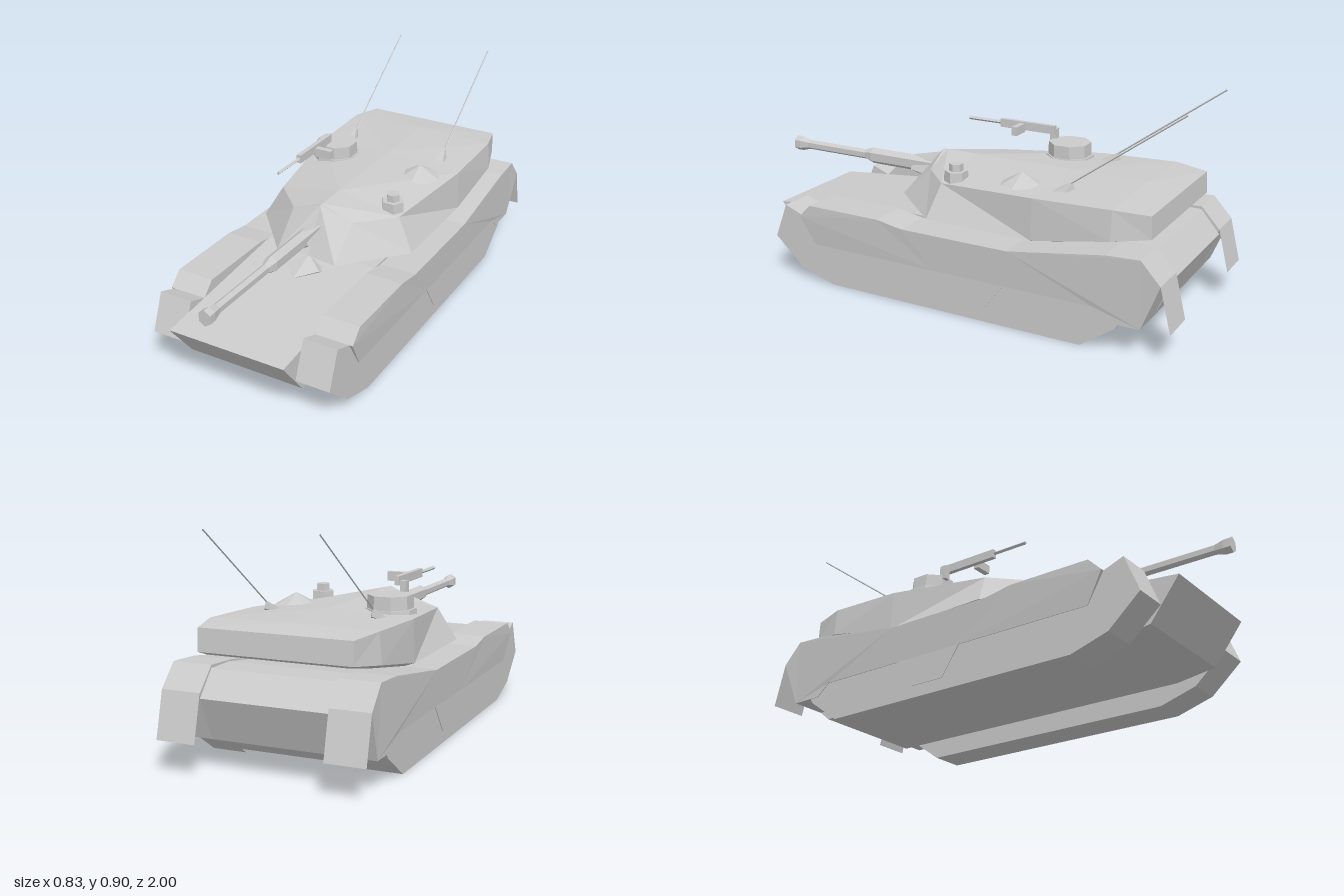
import * as THREE from 'three';
import { ConvexGeometry } from 'three/addons/geometries/ConvexGeometry.js';

const grey = new THREE.MeshStandardMaterial({ color: 0xcccccc, flatShading: true });
const thin = new THREE.MeshStandardMaterial({ color: 0xcccccc, flatShading: true, side: THREE.DoubleSide });

export function createModel() {
  const root = new THREE.Group();
  const add = (name, geo, x = 0, y = 0, z = 0, mat = grey) => {
    const mesh = new THREE.Mesh(geo, mat);
    mesh.name = name;
    mesh.position.set(x, y, z);
    root.add(mesh);
  };
  // Side profile of [z, y] points, extruded across x from x0 to x1
  const slab = (pts, x0, x1) => {
    const shape = new THREE.Shape(pts.map(p => new THREE.Vector2(p[0], p[1])));
    return new THREE.ExtrudeGeometry(shape, { depth: x1 - x0, bevelEnabled: false })
      .rotateY(-Math.PI / 2).translate(x1, 0, 0);
  };
  const convex = pts => new ConvexGeometry(pts.map(p => new THREE.Vector3(...p)));
  const drum = (rTop, rBottom, y0, y1, sides) =>
    new THREE.CylinderGeometry(rTop, rBottom, y1 - y0, sides).rotateY(Math.PI / sides).translate(0, (y0 + y1) / 2, 0);

  // Hull between the tracks
  add('hull', slab([
    [0.895, 0.27], [0.2, 0.335], [-0.33, 0.325], [-0.75, 0.385], [-0.875, 0.385],
    [-0.955, 0.29], [-0.88, 0.12], [-0.83, 0.08], [0.6, 0.08], [0.77, 0.107]], -0.255, 0.255));
  add('driverHatch', convex([
    [0, 0.37, 0.29], [-0.075, 0.335, 0.34], [0.075, 0.335, 0.34], [0, 0.325, 0.42],
    [-0.075, 0.31, 0.29], [0.075, 0.31, 0.29]]));

  // Tracks, skirts and mud flaps on both sides
  const trackPts = [
    [0.815, 0.17], [0.755, 0.322], [0.67, 0.29], [0.4, 0.3], [-0.8, 0.3], [-0.86, 0.22],
    [-0.78, 0.1], [-0.64, 0], [0.52, 0], [0.68, 0.05]];
  const skirtPts = [
    [0.67, 0.29], [0.615, 0.345], [0.27, 0.345], [0.15, 0.325], [-0.33, 0.325],
    [-0.74, 0.39], [-0.875, 0.397], [-0.955, 0.31], [-0.88, 0.12], [-0.75, 0.12], [-0.69, 0.17],
    [-0.31, 0.17], [-0.22, 0.05], [-0.07, 0.05], [0.01, 0.17], [0.6, 0.17]];
  for (const s of [-1, 1]) {
    const side = s > 0 ? 'left' : 'right';
    const span = (a, b) => s > 0 ? [a, b] : [-b, -a];
    add(side + 'Track', slab(trackPts, ...span(0.254, 0.4)));
    const skirt = slab(skirtPts, ...span(0.254, 0.415));
    // The skirt leans in toward its lower edge
    const p = skirt.attributes.position;
    for (let i = 0; i < p.count; i++) {
      if (Math.abs(p.getX(i)) > 0.41 && p.getY(i) < 0.25) p.setX(i, s * 0.403);
    }
    skirt.computeVertexNormals();
    add(side + 'Skirt', skirt);
    const flap = new THREE.PlaneGeometry(0.16, Math.hypot(0.045, 0.18));
    flap.rotateX(Math.atan2(0.045, 0.18));
    add(side + 'MudFlap', flap, s * 0.335, 0.22, -0.9775, thin);
  }

  // Turret: half sections from roof ridge down to the belly, front to back, mirrored
  const roofEdge = [
    [0, 0.553, 0.2], [0.14, 0.5, 0.18], [0.28, 0.5, 0.04], [0.345, 0.53, -0.4],
    [0.345, 0.54, -0.73], [0.31, 0.53, -0.87], [0, 0.53, -0.87]];
  const lip = [
    [0, 0.37, 0.3], [0.135, 0.37, 0.32], [0.355, 0.365, 0.07], [0.35, 0.36, -0.4],
    [0.355, 0.42, -0.73], [0.31, 0.44, -0.875], [0, 0.44, -0.875]];
  const belly = [
    [0, 0.315, 0.2], [0.13, 0.325, 0.18], [0.28, 0.335, 0], [0.31, 0.345, -0.4],
    [0.31, 0.405, -0.73], [0.28, 0.43, -0.86], [0, 0.43, -0.86]];
  const ridge = [0.2, 0.18, 0.04, -0.4, -0.73, -0.87, -0.87].map((z, i) => [0, i < 4 ? 0.553 : i < 5 ? 0.548 : 0.53, z]);
  const rows = [ridge, roofEdge, lip, belly, belly.map(p => [0, p[1], p[2]])];
  const verts = [];
  for (const s of [1, -1]) {
    const tri = (a, b, c) => (s > 0 ? [a, b, c] : [a, c, b]).forEach(p => verts.push(s * p[0], p[1], p[2]));
    for (let r = 0; r < rows.length - 1; r++) {
      for (let c = 0; c < ridge.length - 1; c++) {
        const [a, b, d, e] = [rows[r][c], rows[r + 1][c], rows[r + 1][c + 1], rows[r][c + 1]];
        tri(a, b, d);
        tri(a, d, e);
      }
    }
  }
  const turret = new THREE.BufferGeometry();
  turret.setAttribute('position', new THREE.Float32BufferAttribute(verts, 3));
  turret.computeVertexNormals();
  add('turret', turret);

  // Main gun with thick sleeve and flared muzzle
  const barrel = [[0, 0.15], [0.036, 0.15], [0.036, 0.57], [0.022, 0.61], [0.022, 0.93], [0.034, 0.97], [0.034, 1], [0, 1]];
  const gun = new THREE.LatheGeometry(barrel.map(p => new THREE.Vector2(p[0], p[1])), 6);
  gun.rotateX(Math.PI / 2).scale(0.85, 1, 1);
  add('mainGun', gun, 0, 0.467, 0);
  add('gunMantlet', convex([
    [-0.05, 0.43, 0.22], [0.05, 0.43, 0.22], [0, 0.54, 0.2],
    [-0.035, 0.445, 0.35], [0.035, 0.445, 0.35], [0, 0.505, 0.35], [0, 0.42, 0.33]]));

  // Commander cupola with machine gun
  add('cupolaBase', drum(0.1, 0.105, 0.51, 0.548, 8), -0.21, 0, -0.3);
  add('cupola', drum(0.09, 0.092, 0.54, 0.602, 8), -0.208, 0, -0.3);
  add('machineGunPost', new THREE.BoxGeometry(0.026, 0.06, 0.03), -0.232, 0.615, -0.215);
  add('machineGunBody', new THREE.BoxGeometry(0.02, 0.036, 0.26), -0.205, 0.644, -0.1);
  add('machineGunBarrel', new THREE.CylinderGeometry(0.008, 0.008, 0.17, 4).rotateX(Math.PI / 2), -0.205, 0.645, 0.105);
  add('ammoBox', new THREE.BoxGeometry(0.075, 0.038, 0.025), -0.147, 0.64, -0.083);

  // Low domed roof hatch and sight
  add('roofHatch', new THREE.ConeGeometry(0.09, 0.05, 8), 0.21, 0.557, -0.29);
  add('sightBase', drum(0.048, 0.05, 0.5, 0.548, 6), 0.23, 0, 0);
  add('sightHead', drum(0.029, 0.029, 0.545, 0.578, 6), 0.23, 0, 0);

  // Raked antennas on small wedge bases
  const path = new THREE.LineCurve3(new THREE.Vector3(0, 0.56, -0.49), new THREE.Vector3(0, 0.898, -0.955));
  for (const s of [-1, 1]) {
    const x = s * 0.226;
    add('antennaBase', convex([
      [x - 0.027, 0.53, -0.43], [x + 0.027, 0.53, -0.43], [x - 0.02, 0.535, -0.49], [x + 0.02, 0.535, -0.49],
      [x, 0.582, -0.515], [x, 0.55, -0.525]]));
    add('antenna', new THREE.TubeGeometry(path, 1, 0.0035, 4), x);
  }
  return root;
}
